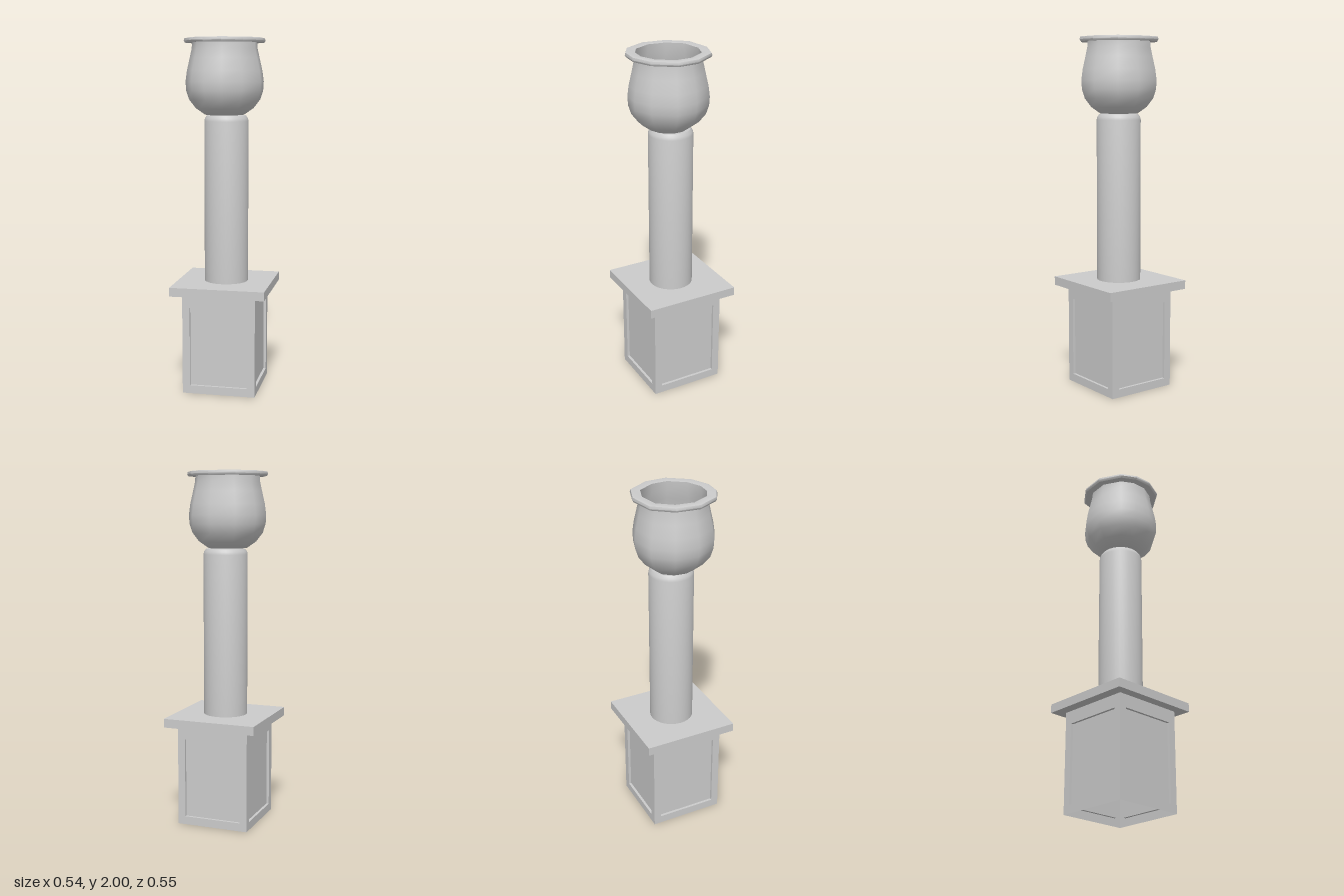
import * as THREE from 'three';
import { toCreasedNormals } from 'three/addons/utils/BufferGeometryUtils.js';

const grey = new THREE.MeshStandardMaterial({ color: 0xcccccc, side: THREE.DoubleSide });

function addMesh(parent, name, geometry, x = 0, y = 0, z = 0) {
  const mesh = new THREE.Mesh(geometry, grey);
  mesh.name = name;
  mesh.position.set(x, y, z);
  parent.add(mesh);
  return mesh;
}

// rectangle outline, reused for walls and panel openings
function rect(target, x0, y0, x1, y1) {
  target.moveTo(x0, y0);
  target.lineTo(x1, y0);
  target.lineTo(x1, y1);
  target.lineTo(x0, y1);
  target.closePath();
  return target;
}

// one pedestal side: thin frame, four reveals and a recessed panel, facing +z
function pedestalSide(halfWidth, distance) {
  const side = new THREE.Group();
  side.name = 'pedestalSide';
  const w = halfWidth - 0.043, y0 = 0.047, y1 = 0.5, height = y1 - y0, depth = 0.015;
  const midY = (y0 + y1) / 2, midZ = distance - depth / 2;
  const wall = rect(new THREE.Shape(), -halfWidth, 0, halfWidth, 0.575);
  wall.holes.push(rect(new THREE.Path(), -w, y0, w, y1));
  addMesh(side, 'panelFrame', new THREE.ShapeGeometry(wall), 0, 0, distance);
  addMesh(side, 'recessedPanel', new THREE.PlaneGeometry(2 * w, height), 0, midY, distance - depth);
  for (const s of [-1, 1]) {
    addMesh(side, 'sideReveal', new THREE.PlaneGeometry(depth, height), s * w, midY, midZ).rotation.y = -s * Math.PI / 2;
    addMesh(side, 'endReveal', new THREE.PlaneGeometry(2 * w, depth), 0, s > 0 ? y1 : y0, midZ).rotation.x = s * Math.PI / 2;
  }
  return side;
}

// uneven eleven-sided rim outline (x, z)
const rimOutline = [
  [0.017, -0.212], [0.137, -0.171], [0.212, -0.047], [0.215, 0.074], [0.13, 0.19], [0.02, 0.237],
  [-0.083, 0.229], [-0.167, 0.18], [-0.231, 0.055], [-0.215, -0.08], [-0.131, -0.186],
];
const centre = [-0.008, 0.012], rimRadius = 0.227;

// skin scaled copies of the outline along a profile of [radius, y]
function urnGeometry(profile) {
  const n = rimOutline.length, positions = [], index = [];
  profile.forEach(([r, y], i) => {
    for (const [x, z] of rimOutline) {
      const k = r / rimRadius;
      positions.push(centre[0] + (x - centre[0]) * k, y, centre[1] + (z - centre[1]) * k);
    }
    if (i === 0) return;
    for (let j = 0; j < n; j++) {
      const a = (i - 1) * n + j, b = (i - 1) * n + (j + 1) % n;
      index.push(a, a + n, b, b, a + n, b + n);
    }
  });
  const geometry = new THREE.BufferGeometry();
  geometry.setAttribute('position', new THREE.Float32BufferAttribute(positions, 3));
  geometry.setIndex(index);
  return toCreasedNormals(geometry, 0.85);
}

export function createModel() {
  const model = new THREE.Group();
  model.name = 'urnOnColumn';

  // hollow pedestal, open underneath
  const pedestal = new THREE.Group();
  pedestal.name = 'pedestal';
  pedestal.position.set(-0.002, 0, 0.001);
  const halfX = 0.208, halfZ = 0.215;
  for (let i = 0; i < 4; i++) {
    const side = i % 2 ? pedestalSide(halfZ, halfX) : pedestalSide(halfX, halfZ);
    side.rotation.y = i * Math.PI / 2;
    pedestal.add(side);
  }
  model.add(pedestal);

  addMesh(model, 'pedestalCap', new THREE.BoxGeometry(0.536, 0.05, 0.545), -0.002, 0.599, -0.001);

  // column with a softened upper edge
  const columnProfile = [[0.125, 0.62], [0.125, 1.54], [0.121, 1.556], [0.11, 1.571], [0, 1.571]]
    .map(([r, y]) => new THREE.Vector2(r, y));
  addMesh(model, 'column', toCreasedNormals(new THREE.LatheGeometry(columnProfile, 32), 0.8), 0, 0, 0.002);

  // bowl: outer wall, rolled lip and inner wall
  const wall = [
    [0.11, 1.575], [0.163, 1.612], [0.2, 1.66], [0.216, 1.71],
    [0.219, 1.76], [0.211, 1.82], [0.195, 1.89], [0.184, 1.94], [0.181, 1.975],
  ];
  const lip = [[0.221, 1.973], [0.228, 1.984], [0.224, 1.997], [0.212, 2], [0.174, 1.996]];
  const inner = wall.slice(0, -1).reverse().map(([r, y]) => [r - 0.007, y + 0.004]);
  addMesh(model, 'urn', urnGeometry([[0, 1.57], ...wall, ...lip, ...inner, [0, 1.576]]));

  return model;
}
